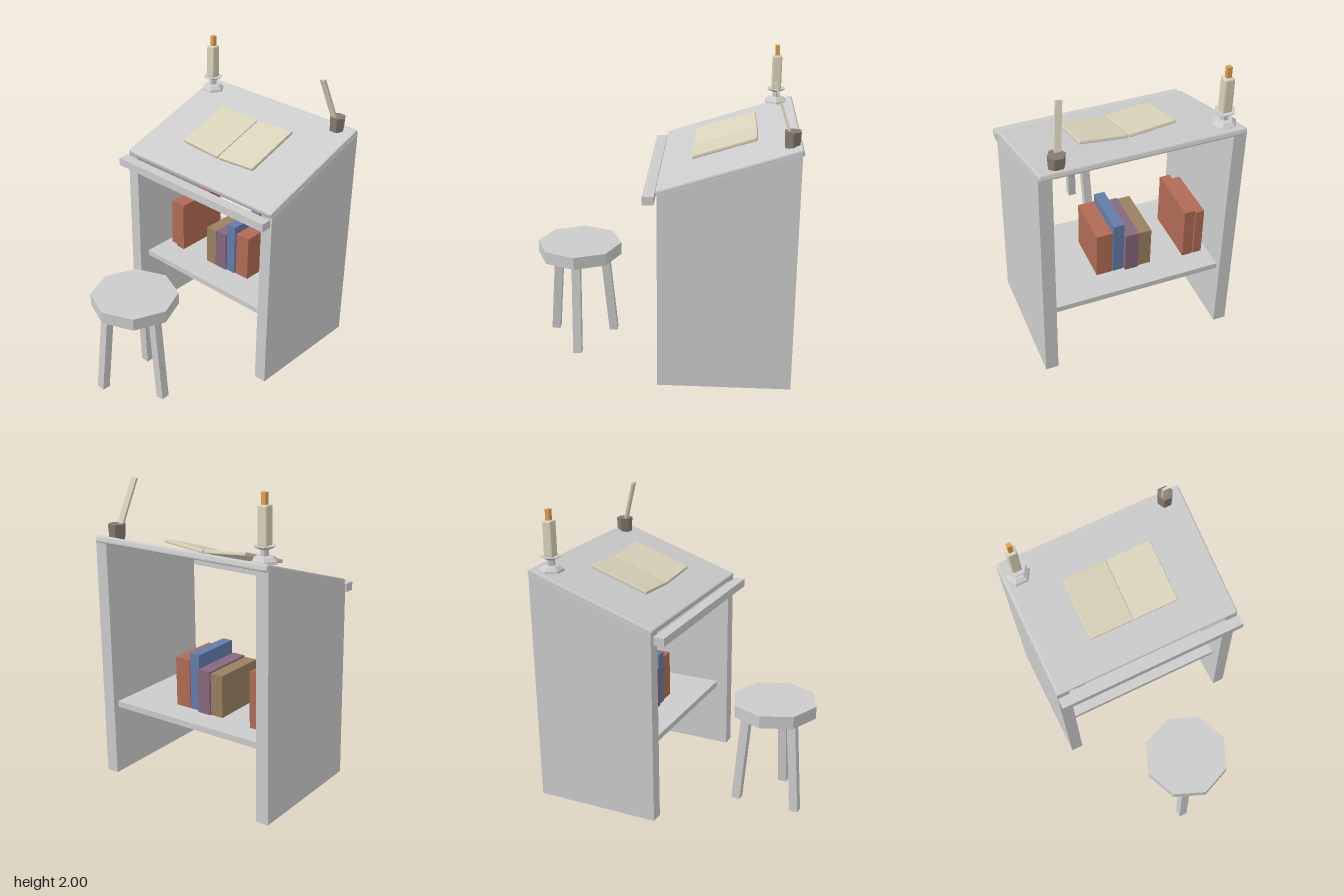
import * as THREE from 'three';
import { RoundedBoxGeometry } from 'three/addons/geometries/RoundedBoxGeometry.js';

const mat = (color = 0xcccccc) => new THREE.MeshStandardMaterial({ color, flatShading: true });
const GREY = mat();
const PAPER = mat(0xd9d2ba);
const INK = mat(0x857a70);
const FLAME = mat(0xe0a050);
const RED = mat(0xb06a55);
const TAN = mat(0x9a8060);
const PURPLE = mat(0x86687e);
const BLUE = mat(0x627ca8);

export function createModel() {
  const model = new THREE.Group();
  model.name = 'writingDesk';

  const add = (name, geometry, material = GREY, pos = [0, 0, 0], parent = model) => {
    const mesh = new THREE.Mesh(geometry, material);
    mesh.name = name;
    mesh.position.set(...pos);
    parent.add(mesh);
    return mesh;
  };
  // Box given by its extents on each axis
  const block = (name, [x0, x1], [y0, y1], [z0, z1], material) =>
    add(name, new THREE.BoxGeometry(x1 - x0, y1 - y0, z1 - z0), material,
      [(x0 + x1) / 2, (y0 + y1) / 2, (z0 + z1) / 2]);
  // Square bar between two points
  const bar = (name, from, to, w, d, material, parent) => {
    const a = new THREE.Vector3(...from), b = new THREE.Vector3(...to);
    const dir = b.clone().sub(a);
    const mesh = add(name, new THREE.BoxGeometry(w, dir.length(), d), material,
      a.add(b).multiplyScalar(0.5).toArray(), parent);
    mesh.quaternion.setFromUnitVectors(new THREE.Vector3(0, 1, 0), dir.normalize());
    return mesh;
  };

  // Side panels with sloping top edge
  const profile = new THREE.Shape([[0, 0.01], [0.86, 0.01], [0.86, 1.595], [0, 1.315]]
    .map(([x, y]) => new THREE.Vector2(x, y)));
  const panel = new THREE.ExtrudeGeometry(profile, { depth: 0.085, bevelEnabled: false });
  panel.rotateY(Math.PI / 2);
  add('rightPanel', panel, GREY, [-0.65, 0, 0]);
  add('leftPanel', panel, GREY, [0.565, 0, 0]);

  // Shelf and front lip
  block('shelf', [-0.565, 0.565], [0.47, 0.51], [-0.82, -0.08]);
  block('frontLip', [-0.65, 0.65], [1.255, 1.31], [0.018, 0.09]);

  // Sloping top; its group origin lies on the writing surface
  const slope = new THREE.Group();
  slope.name = 'slopingTop';
  slope.position.set(0, 1.485, -0.425);
  slope.rotation.x = Math.atan2(0.28, 0.87);
  model.add(slope);
  add('writingBoard', new RoundedBoxGeometry(1.294, 0.045, 0.92, 1, 0.012), GREY, [0, -0.0225, 0], slope);

  // Open book: two page blocks in a shallow V
  for (const side of [-1, 1]) {
    const half = new THREE.Group();
    half.name = side < 0 ? 'rightPages' : 'leftPages';
    half.position.set(side * 0.004, 0, 0.012);
    half.rotation.z = side * 0.09;
    slope.add(half);
    add('pageBlock', new RoundedBoxGeometry(0.31, 0.024, 0.425, 1, 0.006), PAPER, [side * 0.155, 0.012, 0], half);
  }

  // Shelf books: x range, top, z range, colour
  const books = [
    [-0.522, -0.464, 0.86, -0.67, -0.29, RED],
    [-0.456, -0.385, 0.88, -0.67, -0.27, RED],
    [-0.16, -0.072, 0.79, -0.65, -0.28, TAN],
    [-0.069, 0.022, 0.80, -0.66, -0.28, PURPLE],
    [0.026, 0.098, 0.888, -0.64, -0.29, BLUE],
    [0.104, 0.213, 0.838, -0.64, -0.3, RED],
  ];
  for (const [x0, x1, top, z0, z1, m] of books) block('shelfBook', [x0, x1], [0.51, top], [z0, z1], m);

  // Candlestick with candle and flame
  const candlestick = new THREE.Group();
  candlestick.name = 'candlestick';
  candlestick.position.set(-0.55, 0, -0.75);
  model.add(candlestick);
  const outline = [[0, 1.6], [0.085, 1.6], [0.08, 1.615], [0.055, 1.635], [0.026, 1.64],
    [0.026, 1.675], [0.068, 1.695], [0.068, 1.7], [0, 1.7]].map(([r, y]) => new THREE.Vector2(r, y));
  add('holder', new THREE.LatheGeometry(outline, 6), GREY, [0, 0, 0], candlestick).rotation.y = Math.PI / 6;
  add('candle', new RoundedBoxGeometry(0.066, 0.235, 0.066, 1, 0.01), PAPER, [0, 1.812, 0], candlestick);
  add('flame', new THREE.BoxGeometry(0.03, 0.075, 0.03), FLAME, [0, 1.9625, 0], candlestick);

  // Inkwell and quill
  add('inkwell', new THREE.CylinderGeometry(0.056, 0.05, 0.1, 6), INK, [0.52, 1.65, -0.805])
    .rotation.y = Math.PI / 6;
  bar('quill', [0.512, 1.66, -0.795], [0.461, 1.975, -0.69], 0.04, 0.016, PAPER);

  // Three-legged stool
  const stool = new THREE.Group();
  stool.name = 'stool';
  stool.position.z = 0.58;
  model.add(stool);
  add('seat', new THREE.CylinderGeometry(0.288, 0.288, 0.085, 8), GREY, [0, 0.6875, 0], stool);
  for (let i = 0; i < 3; i++) {
    const a = (i * Math.PI * 2) / 3, c = Math.cos(a), s = Math.sin(a);
    bar('stoolLeg', [0.242 * c, 0.003, 0.242 * s], [0.18 * c, 0.66, 0.18 * s], 0.058, 0.058, GREY, stool);
  }

  return model;
}
